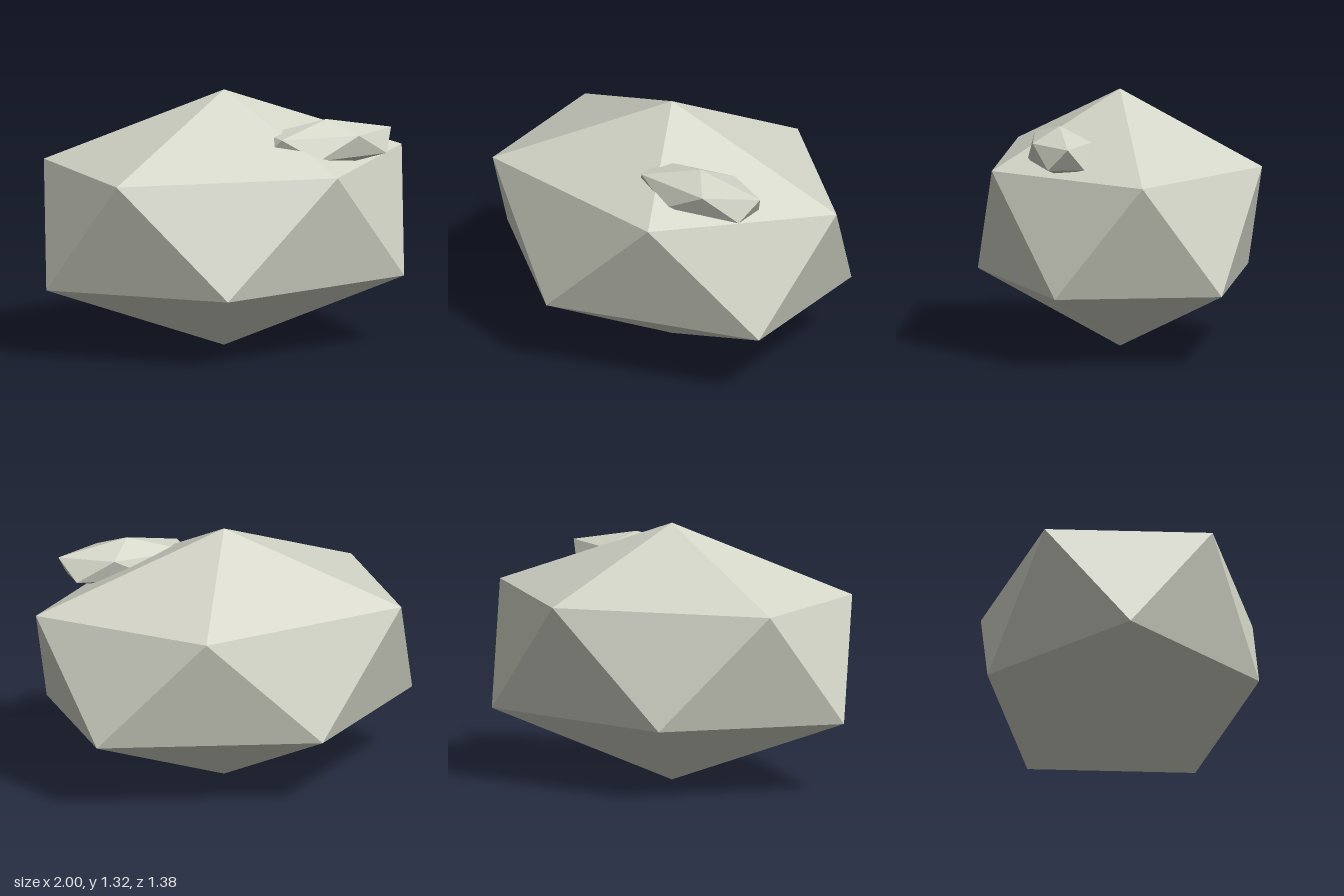
import * as THREE from 'three';

// Faceted stone: an icosahedron standing on one corner, stretched to its half sizes
function makeStone(name, material, halfSize, position) {
  const geometry = new THREE.IcosahedronGeometry(1, 0); // detail 0 has flat normals
  const golden = (1 + Math.sqrt(5)) / 2;
  geometry.rotateZ(-Math.atan(1 / golden)); // bring one corner straight up
  geometry.scale(...halfSize);
  const mesh = new THREE.Mesh(geometry, material);
  mesh.name = name;
  mesh.position.set(...position);
  return mesh;
}

export function createModel() {
  const group = new THREE.Group();
  group.name = 'rock';
  const stone = new THREE.MeshStandardMaterial({ color: 0xd4d6c8 });
  stone.name = 'pale stone grey';

  // Ring corners of the icosahedron lie at 2 / sqrt(5) of its radius
  const ring = 2 / Math.sqrt(5);

  // Main boulder
  group.add(makeStone('boulder', stone, [1 / ring, 0.66, 0.726 / ring], [0, 0.66, 0]));
  // Flat chip sunk into its upper front left slope
  group.add(makeStone('chip', stone, [0.365 / ring, 0.127, 0.158 / ring], [0.405, 1.068, 0.355]));
  return group;
}
